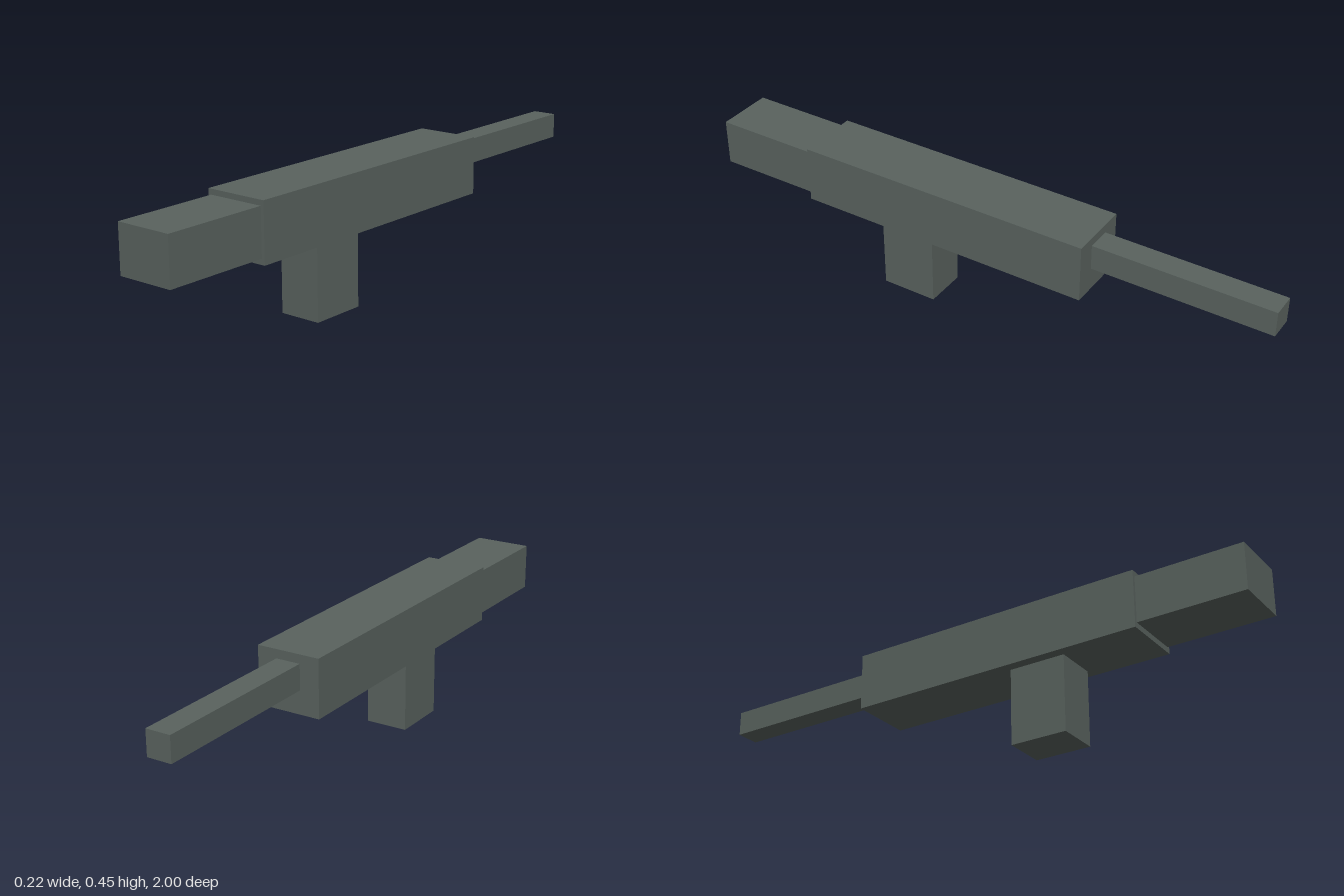
import * as THREE from 'three';

export function createModel() {
  const model = new THREE.Group();
  const darkGrey = new THREE.MeshStandardMaterial({ color: 0x59625e });
  darkGrey.name = 'darkGrey';

  // Box centred on x, given its width and its y and z ranges
  const addBlock = (name, width, [y0, y1], [z0, z1]) => {
    const block = new THREE.Mesh(new THREE.BoxGeometry(width, y1 - y0, z1 - z0), darkGrey);
    block.name = name;
    block.position.set(0, (y0 + y1) / 2, (z0 + z1) / 2);
    model.add(block);
  };

  addBlock('body', 0.218, [0.257, 0.451], [-0.393, 0.64]);
  addBlock('stock', 0.196, [0.276, 0.433], [0.64, 1]);
  addBlock('barrel', 0.084, [0.336, 0.421], [-1, -0.393]);
  addBlock('grip', 0.146, [0, 0.257], [0.176, 0.37]);

  return model;
}
